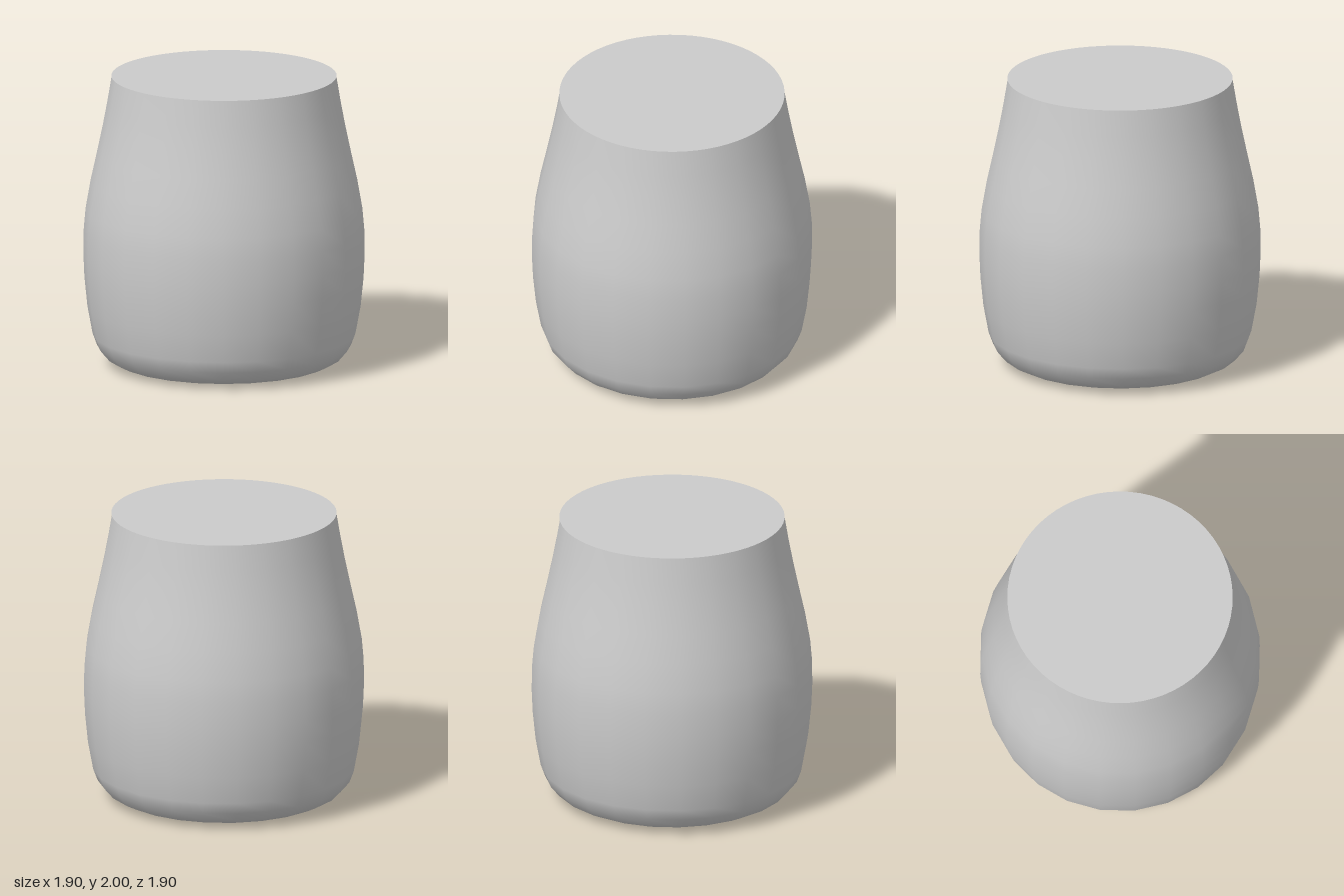
import * as THREE from 'three';

// Body outline from the base centre up to the rim: [radius, height]
const PROFILE = [
  [0, 0], [0.24, 0], [0.63, 0.01], [0.73, 0.025], [0.8, 0.06], [0.86, 0.13],
  [0.89, 0.21], [0.925, 0.4], [0.945, 0.6], [0.952, 0.76], [0.95, 0.93],
  [0.937, 1.08], [0.902, 1.28], [0.86, 1.47], [0.82, 1.66], [0.79, 1.82], [0.76, 2],
];

export function createModel() {
  const group = new THREE.Group();
  group.name = 'roundedVessel';
  const material = new THREE.MeshStandardMaterial({ color: 0xcccccc });

  // Rounded body with a closed base
  const points = PROFILE.map(([r, y]) => new THREE.Vector2(r, y));
  const body = new THREE.Mesh(new THREE.LatheGeometry(points, 24), material);
  body.name = 'body';
  group.add(body);

  // Flat disc closing the top
  const topDisc = new THREE.Mesh(new THREE.CircleGeometry(0.763, 64), material);
  topDisc.name = 'topDisc';
  topDisc.rotation.x = -Math.PI / 2;
  topDisc.position.y = 2;
  group.add(topDisc);

  return group;
}
